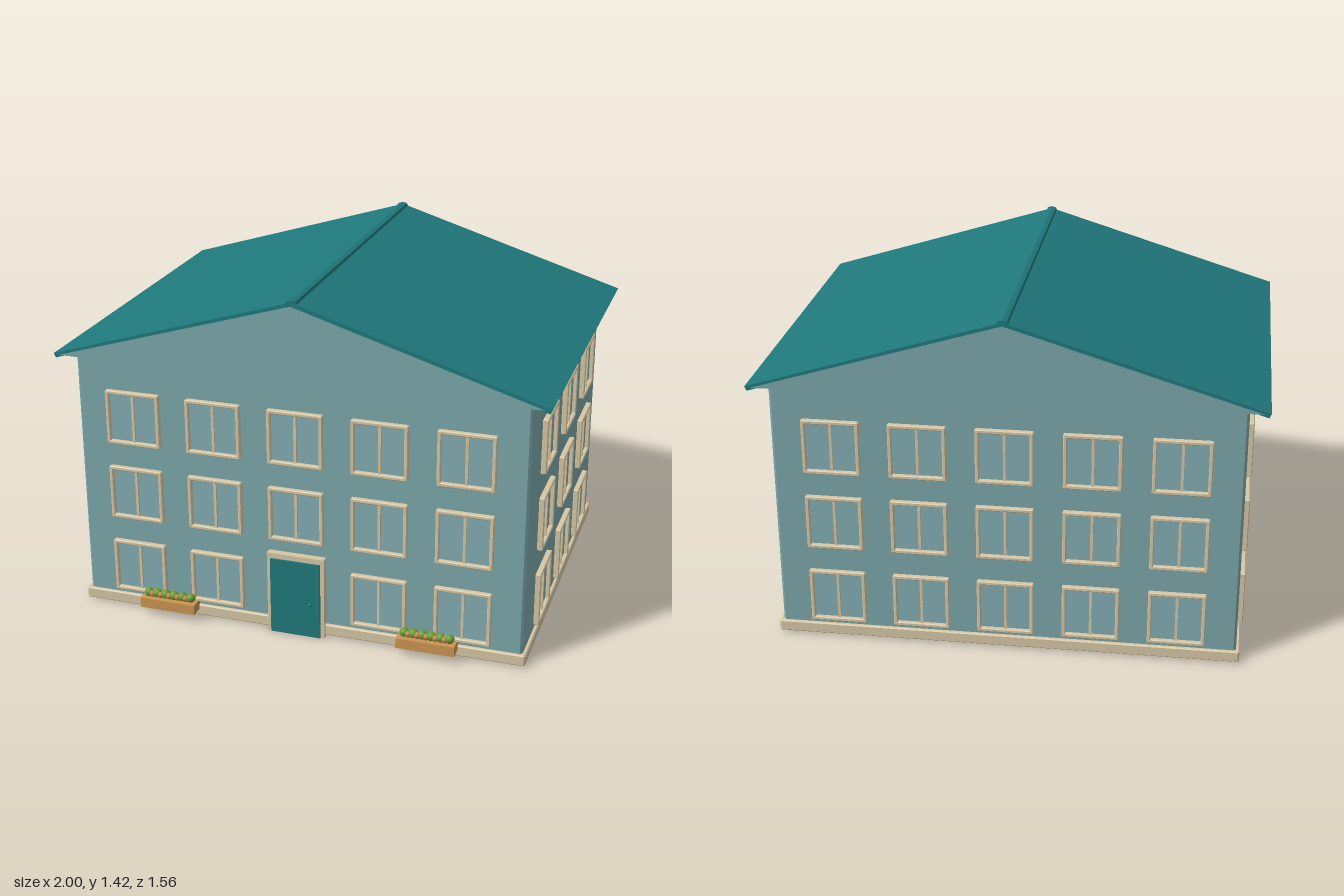
import * as THREE from 'three';

const mat = (name, color, side = THREE.FrontSide) => {
  const m = new THREE.MeshStandardMaterial({ color, side });
  m.name = name;
  return m;
};

export function createModel() {
  const house = new THREE.Group();
  house.name = 'house';
  const wallMat = mat('wall blue', 0x7ba6aa, THREE.DoubleSide);
  const glassMat = mat('window glass', 0x82acb2);
  const roofMat = mat('roof teal', 0x1f787b);
  const trimMat = mat('cream trim', 0xd5c6a4);
  const boxMat = mat('planter wood', 0xc99450);
  const leafMat = mat('leaf green', 0x6b9d2f);
  const flowerMat = mat('flower orange', 0xb8864a);

  const CZ = -0.01;              // centre of the walls in z
  const HX = 0.922, HZ = 0.72;   // half sizes of the walls

  const add = (parent, name, geometry, material, x = 0, y = 0, z = 0) => {
    const mesh = new THREE.Mesh(geometry, material);
    mesh.name = name;
    mesh.position.set(x, y, z);
    parent.add(mesh);
    return mesh;
  };
  const box = (w, h, d) => new THREE.BoxGeometry(w, h, d);

  // rectangle outline with chamfered corners
  const outline = (hx, hy, c, Type = THREE.Shape) => new Type([
    [hx - c, -hy], [hx, -hy + c], [hx, hy - c], [hx - c, hy],
    [-hx + c, hy], [-hx, hy - c], [-hx, -hy + c], [-hx + c, -hy],
  ].map(([x, y]) => new THREE.Vector2(x, y)));
  // rectangular ring extruded along z
  const ring = (hx, hy, width, depth, c, bevel = 0) => {
    const s = outline(hx - bevel, hy - bevel, c);
    s.holes.push(outline(hx - width + bevel, hy - width + bevel, c, THREE.Path));
    const g = new THREE.ExtrudeGeometry(s, {
      depth: depth - 2 * bevel, bevelEnabled: bevel > 0,
      bevelThickness: bevel, bevelSize: bevel, bevelSegments: 1,
    });
    return g.translate(0, 0, bevel);
  };

  // hollow walls, open at the bottom, and the plinth around them
  add(house, 'walls', ring(HX, HZ, 0.015, 1.08, 0.01).rotateX(-Math.PI / 2), wallMat, 0, 0.02, CZ);
  add(house, 'plinth', ring(HX + 0.014, HZ + 0.014, 0.035, 0.046, 0.004, 0.004).rotateX(-Math.PI / 2),
    trimMat, 0, 0.01, CZ);

  // attic prism: wall-coloured gables, teal soffit
  const gable = new THREE.Shape([
    new THREE.Vector2(-0.975, 1.1), new THREE.Vector2(0.975, 1.1), new THREE.Vector2(0, 1.397),
  ]);
  add(house, 'gables', new THREE.ExtrudeGeometry(gable, { depth: 1.535, bevelEnabled: false }),
    [wallMat, roofMat], 0, 0, -0.78);

  // two roof slabs and the ridge cap
  const roofZ = -0.014, roofLength = 1.523;
  for (const s of [-1, 1]) {
    const slab = new THREE.Shape([
      [0, 1.393], [0.992, 1.085], [1.0, 1.103], [0, 1.411],
    ].map(([x, y]) => new THREE.Vector2(s * x, y)));
    add(house, s > 0 ? 'leftRoof' : 'rightRoof',
      new THREE.ExtrudeGeometry(slab, { depth: roofLength, bevelEnabled: false }),
      roofMat, 0, 0, roofZ - roofLength / 2);
  }
  const cap = new THREE.Shape([
    [-0.025, 1.398], [0.025, 1.398], [0.018, 1.415], [0, 1.42], [-0.018, 1.415],
  ].map(([x, y]) => new THREE.Vector2(x, y)));
  add(house, 'ridgeCap', new THREE.ExtrudeGeometry(cap, { depth: roofLength, bevelEnabled: false }),
    roofMat, 0, 0, roofZ - roofLength / 2);

  // windows: frame, glass and mullion, facing +z
  const frameGeo = ring(0.114, 0.114, 0.015, 0.023, 0.002, 0.003);
  const glassGeo = box(0.204, 0.204, 0.006);
  const mullionGeo = box(0.011, 0.204, 0.012);
  const addWindow = (parent, x, y) => {
    const w = new THREE.Group();
    w.name = 'window';
    w.position.set(x, y, 0);
    add(w, 'windowFrame', frameGeo, trimMat);
    add(w, 'windowGlass', glassGeo, glassMat, 0, 0, 0.003);
    add(w, 'windowMullion', mullionGeo, trimMat, 0, 0, 0.009);
    parent.add(w);
  };
  const rows = [0.19, 0.521, 0.849];
  const facades = [
    ['frontWindows', 0, 0, CZ + HZ, 5, 0.341],
    ['backWindows', Math.PI, 0, CZ - HZ, 5, 0.341],
    ['leftWindows', Math.PI / 2, HX, -0.022, 3, 0.415],
    ['rightWindows', -Math.PI / 2, -HX, -0.022, 3, 0.415],
  ];
  for (const [name, turn, x, z, count, step] of facades) {
    const facade = new THREE.Group();
    facade.name = name;
    facade.position.set(x, 0, z);
    facade.rotation.y = turn;
    for (const y of rows) {
      for (let i = 0; i < count; i++) {
        const wx = (i - (count - 1) / 2) * step;
        const behindDoor = name === 'frontWindows' && wx === 0 && y === rows[0];
        if (!behindDoor) addWindow(facade, wx, y);
      }
    }
    house.add(facade);
  }

  // front door with frame and knob
  const door = new THREE.Group();
  door.name = 'door';
  door.position.z = CZ + HZ;
  for (const s of [-1, 1]) add(door, 'doorJamb', box(0.018, 0.348, 0.03), trimMat, s * 0.111, 0.176, 0.014);
  add(door, 'doorLintel', box(0.24, 0.022, 0.03), trimMat, 0, 0.341, 0.014);
  add(door, 'doorPanel', box(0.208, 0.326, 0.04), roofMat, 0, 0.167, 0.018);
  add(door, 'doorKnob', new THREE.SphereGeometry(0.008, 12, 8), roofMat, 0.065, 0.15, 0.04);
  house.add(door);

  // planters with rows of round shrubs and flowers
  const shrubGeo = new THREE.SphereGeometry(0.019, 14, 10);
  const flowerGeo = new THREE.SphereGeometry(0.014, 12, 8);
  for (const s of [-1, 1]) {
    const planter = new THREE.Group();
    planter.name = s > 0 ? 'leftPlanter' : 'rightPlanter';
    planter.position.set(s * 0.547, 0, 0.747);
    add(planter, 'planterBox', box(0.238, 0.042, 0.064), boxMat, 0, 0.057, 0);
    for (let i = 0; i < 6; i++) {
      const x = (i - 2.5) * 0.037;
      add(planter, 'shrub', shrubGeo, leafMat, x, 0.095, 0);
      if (i < 5) add(planter, 'flower', flowerGeo, flowerMat, x + 0.0185, 0.093, 0.008);
    }
    house.add(planter);
  }
  return house;
}
